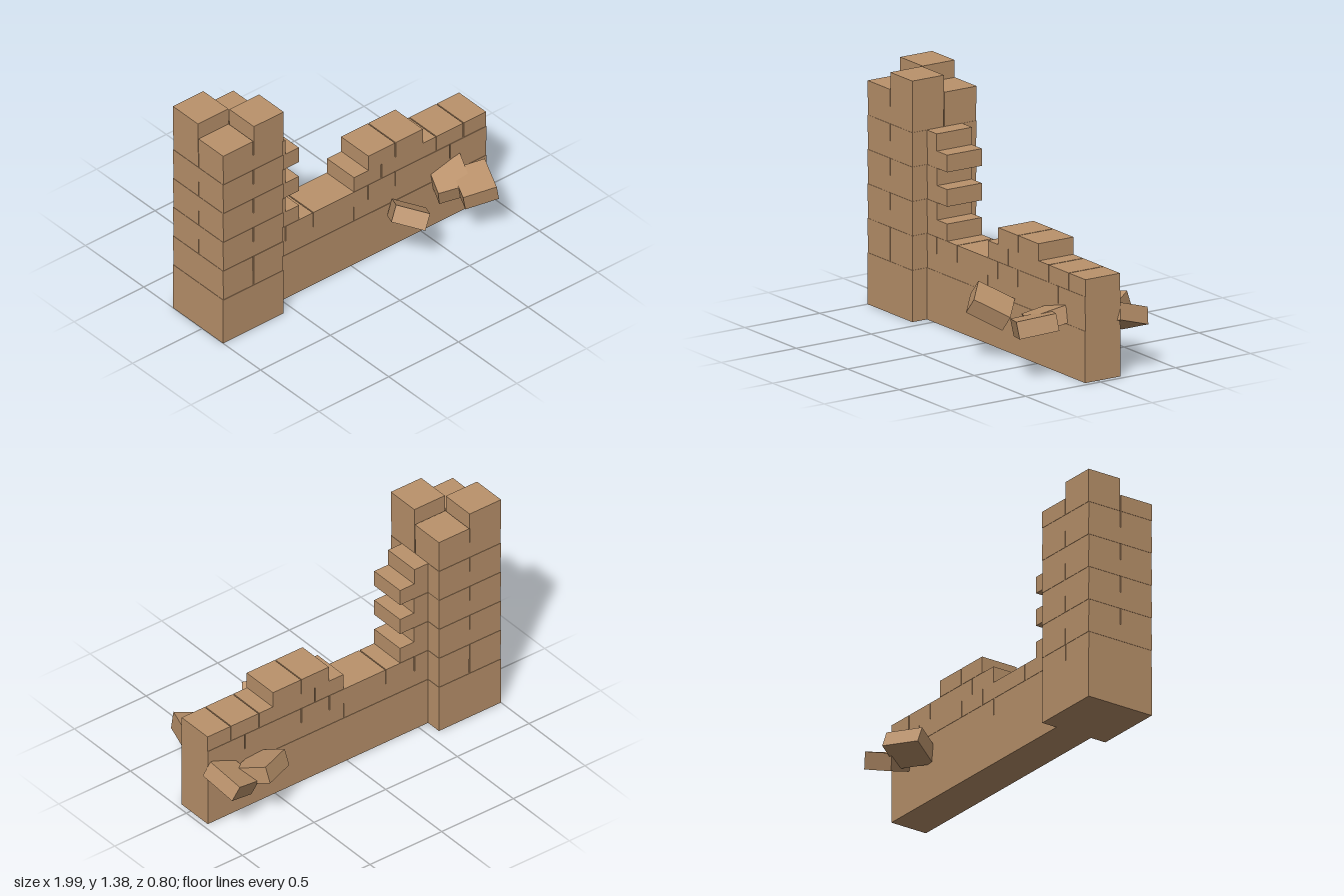
import * as THREE from 'three';

const ROW = 0.0985; // height of one brick course
const GAP = 0.006;  // open vertical joint

export function createModel() {
  const model = new THREE.Group();
  model.name = 'ruinedWall';
  const stone = new THREE.MeshStandardMaterial({ color: 0xba926b });
  stone.name = 'sandstone';

  // Box between two corners
  function block(parent, name, x0, x1, y0, y1, z0, z1) {
    const mesh = new THREE.Mesh(new THREE.BoxGeometry(x1 - x0, y1 - y0, z1 - z0), stone);
    mesh.position.set((x0 + x1) / 2, (y0 + y1) / 2, (z0 + z1) / 2);
    mesh.name = name;
    parent.add(mesh);
  }
  function group(name) {
    const g = new THREE.Group();
    g.name = name;
    model.add(g);
    return g;
  }
  // Turn a list of cuts into spans with open joints between them
  const spans = (cuts) => cuts.slice(1).map((end, i) => [
    cuts[i] + (i > 0 ? GAP / 2 : 0),
    end - (i < cuts.length - 2 ? GAP / 2 : 0),
  ]);

  // Pillar: solid foot, courses split alternately across x and z
  const pillar = group('pillar');
  block(pillar, 'pillarFoot', -1, -0.567, 0, 3 * ROW, -0.25, 0.18);
  const splitX = [3, 4, 6, 8, 10, 12], splitZ = [5, 7, 9, 11, 12];
  for (let i = 3; i < 13; i++) {
    const inset = (i % 2) * 0.002;
    const xs = splitX.includes(i) ? [-1 + inset, -0.782, -0.567 - inset] : [-1 + inset, -0.567 - inset];
    const zs = splitZ.includes(i) ? [-0.25 + inset, -0.033, 0.18 - inset] : [-0.25 + inset, 0.18 - inset];
    for (const [x0, x1] of spans(xs)) {
      for (const [z0, z1] of spans(zs)) {
        block(pillar, 'pillarBrick', x0, x1, i * ROW, (i + 1) * ROW, z0, z1);
      }
    }
  }
  // Two diagonal corner blocks on top
  block(pillar, 'topBlock', -0.78, -0.567, 13 * ROW, 14 * ROW, -0.03, 0.18);
  block(pillar, 'topBlock', -1, -0.782, 13 * ROW, 14 * ROW, -0.25, -0.036);

  // Broken wall: solid foot and stepped courses
  const wall = group('wall');
  block(wall, 'wallFoot', -0.567, 0.97, 0, 3 * ROW, -0.153, 0.082);
  const courses = [
    [3, [-0.567, 0.02, 0.97]],
    [4, [-0.567, -0.472, -0.272, 0.12, 0.316, 0.71, 0.97]],
    [5, [-0.567, -0.373]],
    [5, [0.022, 0.22, 0.612, 0.808, 0.97]],
    [6, [-0.567, -0.47]],
    [6, [0.125, 0.318, 0.515]],
    [7, [-0.567, -0.373]],
    [8, [-0.567, -0.47]],
    [9, [-0.567, -0.373]],
    [10, [-0.567, -0.472]],
  ];
  for (const [i, cuts] of courses) {
    const inset = (i % 2) * 0.002;
    for (const [x0, x1] of spans(cuts)) {
      block(wall, 'wallBrick', x0, x1, i * ROW, (i + 1) * ROW, -0.153 + inset, 0.082 - inset);
    }
  }

  // Loose bricks: centre, short axis, long axis
  const rubble = group('rubble');
  const loose = [
    [[0.28, 0.305, 0.24], [0.144, -0.06, 0.118], [-0.105, 0.1, 0.16]],
    [[0.74, 0.308, 0.26], [0.18, 0.037, 0.07], [-0.085, -0.036, 0.203]],
    [[0.665, 0.31, 0.13], [0.18, 0.03, 0.07], [-0.075, -0.06, 0.19]],
    [[0.665, 0.31, -0.25], [0.075, -0.07, 0.18], [0.2, 0.02, -0.09]],
    [[0.867, 0.31, -0.228], [0.175, 0.06, -0.06], [-0.04, -0.07, -0.215]],
  ];
  for (const [centre, short, long] of loose) {
    const z = new THREE.Vector3(...long).normalize();
    const y = z.clone().cross(new THREE.Vector3(...short)).normalize();
    const x = y.clone().cross(z);
    const mesh = new THREE.Mesh(new THREE.BoxGeometry(0.195, ROW, 0.226), stone);
    mesh.quaternion.setFromRotationMatrix(new THREE.Matrix4().makeBasis(x, y, z));
    mesh.position.set(...centre);
    mesh.name = 'looseBrick';
    rubble.add(mesh);
  }

  return model;
}
